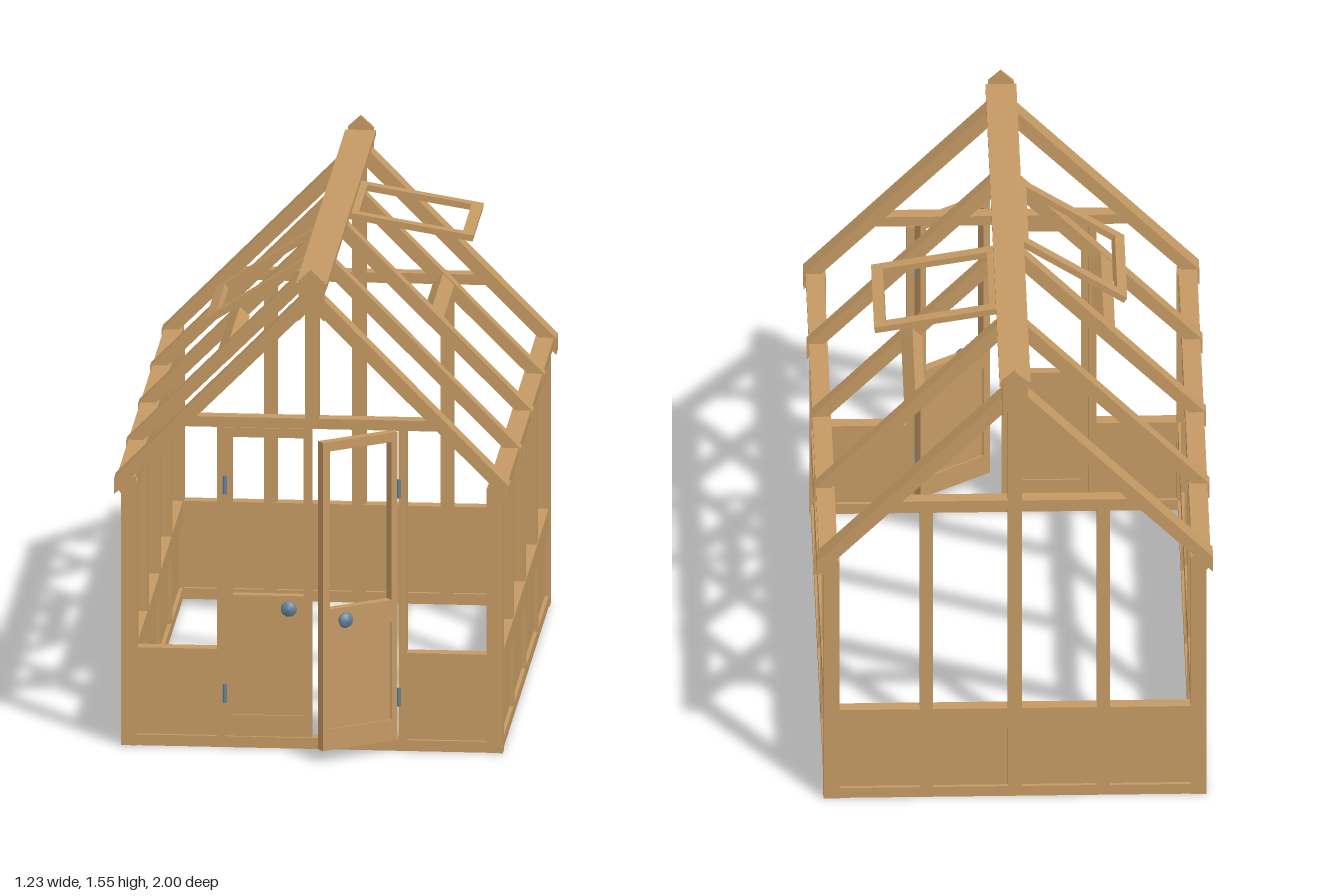
import * as THREE from 'three';

const wood = new THREE.MeshStandardMaterial({ color: 0xc49963 });
wood.name = 'wood';
const metal = new THREE.MeshStandardMaterial({ color: 0x64839b });
metal.name = 'metal';

// Box given by its limits on each axis
function box(parent, name, x, y, z, mat = wood) {
  const g = new THREE.BoxGeometry(x[1] - x[0], y[1] - y[0], z[1] - z[0]);
  const m = new THREE.Mesh(g, mat);
  m.name = name;
  m.position.set((x[0] + x[1]) / 2, (y[0] + y[1]) / 2, (z[0] + z[1]) / 2);
  parent.add(m);
  return m;
}

// Outline in x,y extruded from z0 to z1
function prism(parent, name, pts, z0, z1) {
  const shape = new THREE.Shape(pts.map(p => new THREE.Vector2(p[0], p[1])));
  const g = new THREE.ExtrudeGeometry(shape, { depth: z1 - z0, bevelEnabled: false });
  const m = new THREE.Mesh(g, wood);
  m.name = name;
  m.position.z = z0;
  parent.add(m);
  return m;
}

const FRONT = 0.84, BACK = -0.96, OUT = 0.595, IN = 0.548;
const ribs = [[0.36, 0.405], [-0.09, -0.043], [-0.53, -0.485]];
const roofTop = x => 1.487 - 1.015 * x;
const roofLow = x => 1.425 - x;

// Dwarf wall: bottom rail, sill, dividers and a recessed board.
// u runs along the wall, d is the wall's depth, along is 'x' or 'z'.
function lowWall(parent, name, u, d, dividers, along) {
  const wall = new THREE.Group();
  wall.name = name;
  parent.add(wall);
  const put = (n, uu, y, dd) => along === 'x' ? box(wall, n, uu, y, dd) : box(wall, n, dd, y, uu);
  put('bottomRail', u, [0, 0.035], d);
  put('sill', u, [0.245, 0.315], d);
  put('board', u, [0.035, 0.245], [d[0] + 0.012, d[1] - 0.012]);
  for (const v of dividers) put('divider', v, [0.035, 0.245], d);
}

// Door leaf, hinged at x = 0 and reaching towards +x (dir 1) or -x (dir -1)
function doorLeaf(name, dir) {
  const leaf = new THREE.Group();
  leaf.name = name;
  const W = 0.269, z = [-0.03, 0];
  const span = (a, b) => dir > 0 ? [a, b] : [-b, -a];
  for (const [a, b] of [[0, 0.022], [W - 0.025, W]]) box(leaf, 'stile', span(a, b), [0.037, 1.028], z);
  for (const y of [[0.037, 0.105], [0.42, 0.49], [0.998, 1.028]])
    box(leaf, 'rail', span(0.022, W - 0.025), y, z);
  box(leaf, 'doorPanel', span(0.022, W - 0.025), [0.105, 0.42], [-0.024, -0.006]);
  const knob = new THREE.Mesh(new THREE.LatheGeometry([
    [0, 0], [0.012, 0], [0.01, 0.01], [0.022, 0.016], [0.025, 0.024], [0.02, 0.034], [0, 0.038],
  ].map(p => new THREE.Vector2(p[0], p[1])), 20), metal);
  knob.name = 'doorKnob';
  knob.rotation.x = Math.PI / 2;
  knob.position.set(dir * 0.2, 0.455, 0);
  leaf.add(knob);
  return leaf;
}

// Roof window frame, hinged at the ridge and reaching along +x
function roofWindow(name) {
  const w = new THREE.Group();
  w.name = name;
  const L = 0.4, H = 0.195, B = 0.036, y = [-0.01, 0.01];
  for (const x of [[0, B], [L - B, L]]) box(w, 'windowRail', x, y, [-H, H]);
  for (const z of [[-H, -H + B], [H - B, H]]) box(w, 'windowStile', [B, L - B], y, z);
  return w;
}

export function createModel() {
  const model = new THREE.Group();
  model.name = 'greenhouse';

  // Side walls, posts, eaves and rafters, mirrored left and right
  for (const s of [1, -1]) {
    const X = (a, b) => s > 0 ? [a, b] : [-b, -a];
    const side = s > 0 ? 'left' : 'right';
    lowWall(model, side + 'LowWall', [BACK + 0.045, FRONT - 0.05], X(IN, OUT - 0.003), ribs, 'z');
    for (const z of [[FRONT - 0.05, FRONT], [BACK, BACK + 0.045]])
      box(model, 'cornerPost', X(0.545, OUT), [0, 0.85], z);
    for (const z of ribs) box(model, 'sidePost', X(IN, OUT - 0.005), [0.315, 0.82], z);

    // Eaves beam with a rounded lower edge
    const eave = [[0.55, 0.803], [0.55, 0.865], [0.608, 0.865], [0.608, 0.845]];
    for (let i = 1; i <= 6; i++) {
      const a = i * Math.PI / 12;
      eave.push([0.568 + 0.04 * Math.cos(a), 0.845 - 0.042 * Math.sin(a)]);
    }
    prism(model, 'eavesBeam', eave.map(p => [s * p[0], p[1]]), BACK - 0.015, FRONT + 0.01);

    // Rafters with upright cut ends
    const rafter = [[0, roofTop(0)], [0.615, roofTop(0.615)], [0.615, roofLow(0.615)], [0, roofLow(0)]];
    for (const z of [[0.79, 0.855], ...ribs, [-0.98, -0.915]])
      prism(model, 'rafter', rafter.map(p => [s * p[0], p[1]]), z[0], z[1]);

    // Crossbar below the roof window opening
    const bay = s > 0 ? [-0.485, -0.09] : [-0.043, 0.36];
    const bar = box(model, 'windowCrossbar', [-0.025, 0.025], [-0.022, 0.022], bay);
    bar.position.x = s * 0.3;
    bar.position.y = 1.147;
    bar.rotation.z = -s * Math.PI / 4;

    // Door jambs, hinges and the low walls beside the doors
    box(model, 'doorJamb', X(0.27, 0.295), [0.035, 1.03], [0.79, FRONT]);
    lowWall(model, side + 'FrontLowWall', X(0.295, 0.545), [0.793, FRONT - 0.003], [], 'x');
    for (const y of [0.175, 0.845]) {
      box(model, 'hingePlate', X(0.264, 0.278), [y - 0.028, y + 0.028], [FRONT, FRONT + 0.006], metal);
      const pin = new THREE.Mesh(new THREE.CylinderGeometry(0.005, 0.005, 0.06, 10), metal);
      pin.name = 'hingePin';
      pin.position.set(s * 0.271, y, FRONT + 0.005);
      model.add(pin);
    }
    box(model, 'backPost', X(0.255, 0.295), [0.315, 1.03], [BACK + 0.003, BACK + 0.043]);
  }

  // Gable ends: tie beams, upright posts and ridge end boards
  const tie = [[-0.4, 1.03], [0.4, 1.03], [0.366, 1.063], [-0.366, 1.063]];
  prism(model, 'frontTieBeam', tie, 0.795, FRONT);
  prism(model, 'backTieBeam', tie, BACK, BACK + 0.045);
  box(model, 'frontKingPost', [-0.022, 0.022], [1.063, 1.44], [0.797, FRONT]);
  box(model, 'backKingPost', [-0.022, 0.022], [1.063, 1.44], [BACK, BACK + 0.043]);
  box(model, 'backCentrePost', [-0.022, 0.022], [0.315, 1.03], [BACK + 0.003, BACK + 0.043]);
  box(model, 'doorThreshold', [-0.295, 0.295], [0, 0.035], [0.793, FRONT - 0.003]);
  lowWall(model, 'backLowWall', [-0.545, 0.545], [BACK + 0.003, BACK + 0.045],
    [[-0.295, -0.255], [-0.022, 0.022], [0.255, 0.295]], 'x');
  const endBoard = [[-0.04, 1.383], [0, 1.422], [0.04, 1.383], [0.04, 1.51], [0, 1.547], [-0.04, 1.51]];
  prism(model, 'frontRidgeBoard', endBoard, 0.856, 0.868);
  prism(model, 'backRidgeBoard', endBoard, -0.998, -0.984);

  // Ridge
  box(model, 'ridgeBeam', [-0.022, 0.022], [1.405, 1.488], [-0.975, 0.85]);
  box(model, 'ridgeCap', [-0.048, 0.048], [1.486, 1.502], [-0.984, 0.856]);

  // Roof windows, both propped open
  const leftWindow = roofWindow('leftRoofWindow');
  leftWindow.position.set(0.03, 1.467, -0.287);
  leftWindow.rotation.z = -0.165;
  const rightWindow = roofWindow('rightRoofWindow');
  rightWindow.position.set(-0.03, 1.455, 0.16);
  rightWindow.rotation.set(0, Math.PI, -0.575, 'YXZ');
  model.add(leftWindow, rightWindow);

  // Doors: one closed, one ajar
  const closedDoor = doorLeaf('closedDoor', 1);
  closedDoor.position.set(-0.27, 0, FRONT - 0.003);
  const openDoor = doorLeaf('openDoor', -1);
  openDoor.position.set(0.268, 0, FRONT + 0.005);
  openDoor.rotation.y = 0.61;
  model.add(closedDoor, openDoor);

  return model;
}
